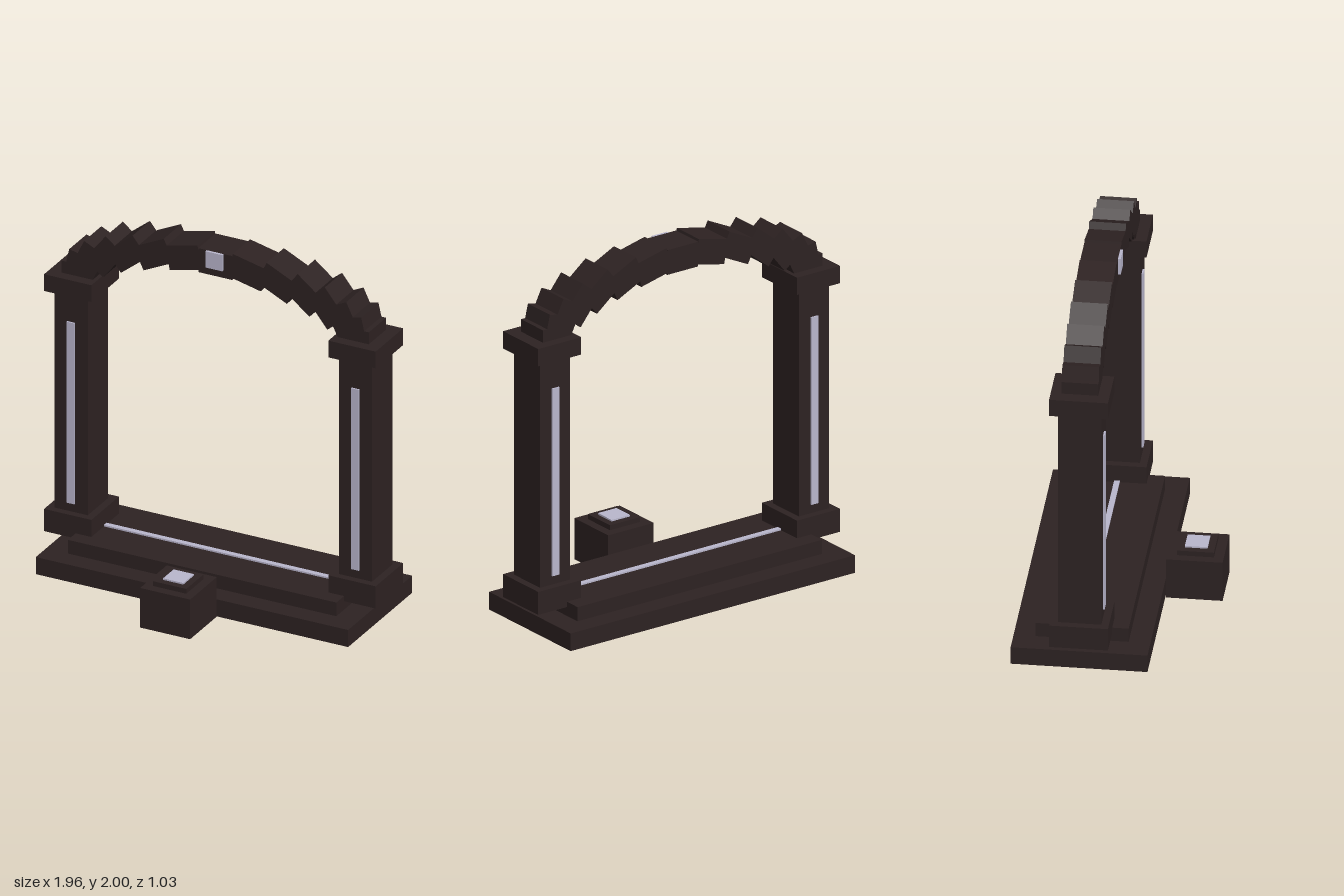
import * as THREE from 'three';

export function createModel() {
  const model = new THREE.Group();
  model.name = 'archway';
  const stone = new THREE.MeshStandardMaterial({ color: 0x2d2222 });
  stone.name = 'dark stone';
  const glow = new THREE.MeshStandardMaterial({ color: 0xb9b6cc });
  glow.name = 'pale inlay';

  // Box given by its extents on each axis
  function box(name, material, [x0, x1], [y0, y1], [z0, z1], parent = model) {
    const mesh = new THREE.Mesh(new THREE.BoxGeometry(x1 - x0, y1 - y0, z1 - z0), material);
    mesh.position.set((x0 + x1) / 2, (y0 + y1) / 2, (z0 + z1) / 2);
    mesh.name = name;
    parent.add(mesh);
    return mesh;
  }

  // Stepped platform with an inlaid threshold line
  box('platformBase', stone, [-0.925, 0.925], [0, 0.1], [-0.513, 0.21]);
  box('platformStep', stone, [-0.795, 0.795], [0.1, 0.18], [-0.397, 0.095]);
  box('thresholdInlay', glow, [-0.72, 0.72], [0.18, 0.189], [-0.163, -0.133]);

  // Pillars with plinth, capital and inlays front and back
  for (const side of [-1, 1]) {
    const pillar = new THREE.Group();
    pillar.name = side > 0 ? 'leftPillar' : 'rightPillar';
    const span = (half) => [side * 0.842 - half, side * 0.842 + half];
    box('shaft', stone, span(0.098), [0.135, 1.6], [-0.262, -0.032], pillar);
    box('plinth', stone, span(0.14), [0.15, 0.28], [-0.303, 0.008], pillar);
    box('capital', stone, span(0.14), [1.557, 1.655], [-0.303, 0.008], pillar);
    box('frontInlay', glow, span(0.023), [0.33, 1.39], [-0.032, -0.023], pillar);
    box('backInlay', glow, span(0.023), [0.33, 1.39], [-0.271, -0.262], pillar);
    model.add(pillar);
  }

  // Arch of overlapping blocks spaced evenly in angle along a half ellipse
  const arch = new THREE.Group();
  arch.name = 'arch';
  const steps = 14;
  for (let i = 0; i <= steps; i++) {
    const angle = Math.PI * (i / steps - 0.5);
    const block = box('archBlock', stone, [-0.1, 0.1], [-0.07, 0.07], [-0.247, -0.052], arch);
    block.position.x = -0.84 * Math.sin(angle);
    block.position.y = 1.625 + 0.29 * Math.cos(angle);
    block.rotation.z = angle;
  }
  model.add(arch);
  box('keystoneInlay', glow, [-0.05, 0.05], [1.89, 1.985], [-0.052, -0.037]);

  // Pedestal in front of the platform
  box('pedestal', stone, [-0.148, 0.148], [0, 0.232], [0.213, 0.513]);
  box('pedestalTop', stone, [-0.098, 0.098], [0.232, 0.26], [0.265, 0.461]);
  box('pedestalInlay', glow, [-0.06, 0.06], [0.26, 0.269], [0.303, 0.423]);

  return model;
}
